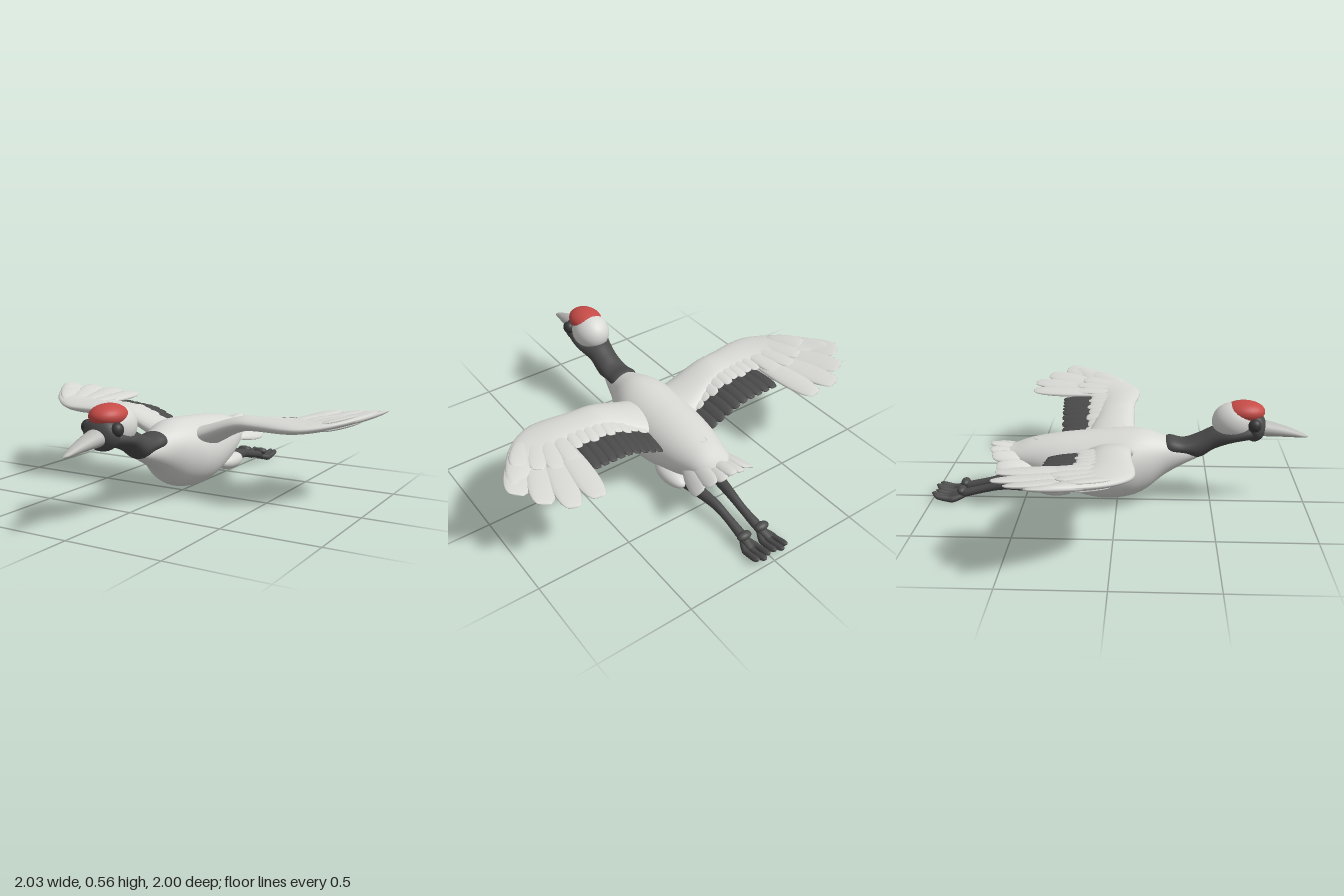
import * as THREE from 'three';
import { mergeVertices } from 'three/addons/utils/BufferGeometryUtils.js';

const plumage = new THREE.MeshStandardMaterial({ color: 0xd8d8d5, name: 'white plumage' });
const dark = new THREE.MeshStandardMaterial({ color: 0x4a4a4a, name: 'charcoal' });
const red = new THREE.MeshStandardMaterial({ color: 0xc64b47, name: 'red crown' });
const horn = new THREE.MeshStandardMaterial({ color: 0xbcbcb9, name: 'beak grey' });
const eyeDark = new THREE.MeshStandardMaterial({ color: 0x383838, name: 'eye black' });

// Smooth tube through sections [x, y, z, rHorizontal, rVertical], listed along +z or +x
function loft(sections, axis = 'z', bend = null, steps = 5, sides = 24) {
  const mid = new THREE.CatmullRomCurve3(sections.map(s => new THREE.Vector3(s[0], s[1], s[2])), false, 'catmullrom');
  const rad = new THREE.CatmullRomCurve3(sections.map(s => new THREE.Vector3(s[3], s[4], 0)), false, 'catmullrom');
  const n = (sections.length - 1) * steps, pos = [], idx = [];
  for (let i = 0; i <= n; i++) {
    const c = mid.getPoint(i / n), r = rad.getPoint(i / n);
    const rh = Math.max(r.x, 0.001), rv = Math.max(r.y, 0.001);
    for (let j = 0; j < sides; j++) {
      const a = j / sides * Math.PI * 2, co = Math.cos(a), si = Math.sin(a);
      const p = axis === 'z' ? [c.x + rh * co, c.y + rv * si, c.z] : [c.x, c.y + rv * co, c.z + rh * si];
      if (bend) p[1] += bend(p[0], p[2]);
      pos.push(...p);
      if (i < n) {
        const k = (j + 1) % sides, A = i * sides + j, B = i * sides + k;
        idx.push(A, B, B + sides, A, B + sides, A + sides);
      }
    }
  }
  const g = new THREE.BufferGeometry();
  g.setAttribute('position', new THREE.Float32BufferAttribute(pos, 3));
  g.setIndex(idx);
  g.computeVertexNormals();
  return g;
}

// Rounded feather from a to b (x, z), half width w, half thickness t, lying on a height surface
function feather(a, b, w, t, surface, lift = 0) {
  let g = new THREE.SphereGeometry(1, 14, 12);
  g.deleteAttribute('uv');
  g.deleteAttribute('normal');
  g = mergeVertices(g, 1e-4);
  const p = g.attributes.position;
  const dx = b[0] - a[0], dz = b[1] - a[1], len = Math.hypot(dx, dz);
  for (let i = 0; i < p.count; i++) {
    const u = p.getY(i), f = (u + 1) / 2;
    const full = Math.pow(Math.max(1 - u * u, 0.001), -0.18) * (1 + 0.2 * u);
    const s = p.getX(i) * full * w;
    const x = a[0] + dx * f - dz / len * s, z = a[1] + dz * f + dx / len * s;
    p.setXYZ(i, x, surface(x, z) + lift + p.getZ(i) * t, z);
  }
  g.computeVertexNormals();
  return g;
}

// Mirror across x, keeping faces outward
function mirrored(geo) {
  const g = geo.clone().scale(-1, 1, 1), ix = g.index.array;
  for (let i = 0; i < ix.length; i += 3) [ix[i], ix[i + 1]] = [ix[i + 1], ix[i]];
  g.computeVertexNormals();
  return g;
}

function ellipsoid(x, y, z, rx, ry, rz) {
  return new THREE.SphereGeometry(1, 32, 22).scale(rx, ry, rz).translate(x, y, z);
}

// Wing height: rises from the shoulder, lifts at the tip, droops at the inner trailing edge
function wingSurface(x, z) {
  const tip = Math.max(0, (x - 0.6) / 0.4);
  return 0.31 + 0.1 * THREE.MathUtils.smoothstep(x, 0.05, 0.4) + 0.07 * tip * tip
    - 0.16 * Math.max(0, 0.05 - z) * Math.max(0, 1 - x / 0.65);
}

const tailSurface = (x, z) => 0.305 - 2.4 * x * x + 0.2 * (-z - 0.6);

export function createModel() {
  const model = new THREE.Group();
  model.name = 'flyingCrane';
  const add = (name, geo, mat) => {
    const m = new THREE.Mesh(geo, mat);
    m.name = name;
    model.add(m);
  };
  const pair = (name, geo, mat) => {
    add('left' + name, geo, mat);
    add('right' + name, mirrored(geo), mat);
  };

  // Body and neck
  add('body', loft([
    [0, 0.29, -0.65, 0.01, 0.005], [0, 0.262, -0.55, 0.09, 0.055], [0, 0.25, -0.45, 0.125, 0.1],
    [0, 0.232, -0.3, 0.165, 0.145], [0, 0.215, -0.1, 0.19, 0.183], [0, 0.225, 0.05, 0.185, 0.185],
    [0, 0.242, 0.15, 0.15, 0.163], [0, 0.267, 0.25, 0.1, 0.107], [0, 0.28, 0.35, 0.068, 0.06],
    [0, 0.29, 0.45, 0.03, 0.02], [0, 0.3, 0.48, 0.002, 0.002]], 'z', null, 6, 36), plumage);
  add('neck', loft([
    [0, 0.31, 0.22, 0.03, 0.03], [0, 0.325, 0.27, 0.076, 0.05], [0, 0.322, 0.35, 0.076, 0.04],
    [0, 0.327, 0.43, 0.073, 0.066], [0, 0.37, 0.51, 0.075, 0.06], [0, 0.395, 0.6, 0.098, 0.047],
    [0, 0.415, 0.7, 0.09, 0.048], [0, 0.42, 0.76, 0.05, 0.04], [0, 0.42, 0.78, 0.002, 0.002]]), dark);
  const ring = new THREE.TorusGeometry(0.016, 0.004, 8, 20).rotateX(-Math.PI / 2 - 0.15);
  add('backRing', ring.translate(-0.01, 0.353, -0.42), plumage);

  // Head
  add('head', ellipsoid(0, 0.46, 0.61, 0.1, 0.1, 0.115), plumage);
  add('face', ellipsoid(0, 0.435, 0.715, 0.096, 0.08, 0.062), dark);
  add('crown', ellipsoid(0, 0.515, 0.66, 0.086, 0.056, 0.108), red);
  pair('Eye', ellipsoid(0.083, 0.462, 0.71, 0.03, 0.034, 0.034), eyeDark);
  add('beak', loft([
    [0, 0.43, 0.72, 0.06, 0.047], [0, 0.42, 0.8, 0.05, 0.039], [0, 0.403, 0.9, 0.033, 0.025],
    [0, 0.385, 0.975, 0.016, 0.011], [0, 0.38, 1.0, 0.001, 0.001]]), horn);

  // Wing arm: [x, leading z, trailing z, half thickness]
  const arm = [
    [0.05, 0.1, -0.2, 0.06], [0.15, 0.09, -0.18, 0.058], [0.3, 0.083, -0.13, 0.044], [0.45, 0.088, -0.12, 0.036],
    [0.6, 0.108, -0.13, 0.034], [0.7, 0.1, -0.18, 0.03], [0.8, 0.035, -0.23, 0.026],
    [0.88, -0.055, -0.26, 0.022], [0.95, -0.175, -0.3, 0.015], [0.985, -0.27, -0.3, 0.002]];
  pair('WingArm', loft(arm.map(([x, f, b, t]) => [x, 0, (f + b) / 2, (f - b) / 2, t]), 'x', wingSurface), plumage);

  // Dark inner flight feathers, with a row of pale coverts over and under their roots
  for (let i = 0; i < 9; i++) {
    const x = 0.155 + i * 0.047;
    pair('Secondary' + (i + 1), feather([x, -0.06], [x + 0.02, -0.315 - i * 0.003], 0.03, 0.016, wingSurface, -0.004), dark);
    pair('Covert' + (i + 1), feather([x + 0.01, 0.01], [x + 0.03, -0.185 + 0.012 * (i % 2)], 0.031, 0.011, wingSurface, 0.017), plumage);
    pair('UnderCovert' + (i + 1), feather([x + 0.01, 0.02], [x + 0.03, -0.185], 0.031, 0.011, wingSurface, -0.02), plumage);
  }

  // Outer flight feathers fan out, with shorter coverts on both faces
  const tips = [[0.665, -0.53], [0.8, -0.53], [0.905, -0.455], [0.985, -0.35]];
  const roots = [[0.61, -0.02], [0.66, 0.0], [0.71, 0.0], [0.78, 0.0]];
  tips.forEach((tip, i) => {
    const r = roots[i];
    const at = f => [r[0] + (tip[0] - r[0]) * f, r[1] + (tip[1] - r[1]) * f];
    pair('Primary' + (i + 1), feather(r, tip, 0.064, 0.018, wingSurface, 0.008 - i * 0.004), plumage);
    pair('PrimaryCovert' + (i + 1), feather(r, at(0.52), 0.045, 0.012, wingSurface, 0.018), plumage);
    pair('UnderPrimaryCovert' + (i + 1), feather(r, at(0.6), 0.045, 0.012, wingSurface, -0.018), plumage);
  });

  // Tail fan
  for (let i = -3; i <= 3; i++) {
    const k = Math.abs(i);
    add('tailFeather' + (i + 4), feather([i * 0.03, -0.4], [i * 0.054, -0.675 + k * k * 0.006], 0.037, 0.02,
      tailSurface, -0.008 * (k % 2)), plumage);
  }

  // Legs stretched behind, with three toes and a small hind toe
  pair('Thigh', ellipsoid(0.115, 0.12, -0.32, 0.056, 0.045, 0.115), plumage);
  pair('Leg', loft([
    [0.058, 0.035, -0.9, 0.02, 0.012], [0.052, 0.05, -0.82, 0.026, 0.022], [0.05, 0.078, -0.7, 0.022, 0.022],
    [0.055, 0.1, -0.6, 0.025, 0.026], [0.075, 0.11, -0.45, 0.032, 0.034], [0.1, 0.115, -0.36, 0.03, 0.03]]), dark);
  [[0.02, -0.985], [0.055, -1.0], [0.088, -0.985]].forEach(([x, z], i) => {
    pair('Toe' + (i + 1), loft([
      [x, 0.048, z, 0.002, 0.002], [x, 0.04, z + 0.02, 0.017, 0.014], [x, 0.026, z + 0.08, 0.015, 0.016],
      [x * 0.8 + 0.011, 0.026, -0.87, 0.018, 0.018], [0.053, 0.045, -0.8, 0.008, 0.01]], 'z', null, 4, 12), dark);
  });
  pair('HindToe', ellipsoid(0.055, 0.068, -0.835, 0.04, 0.022, 0.025), dark);
  return model;
}
